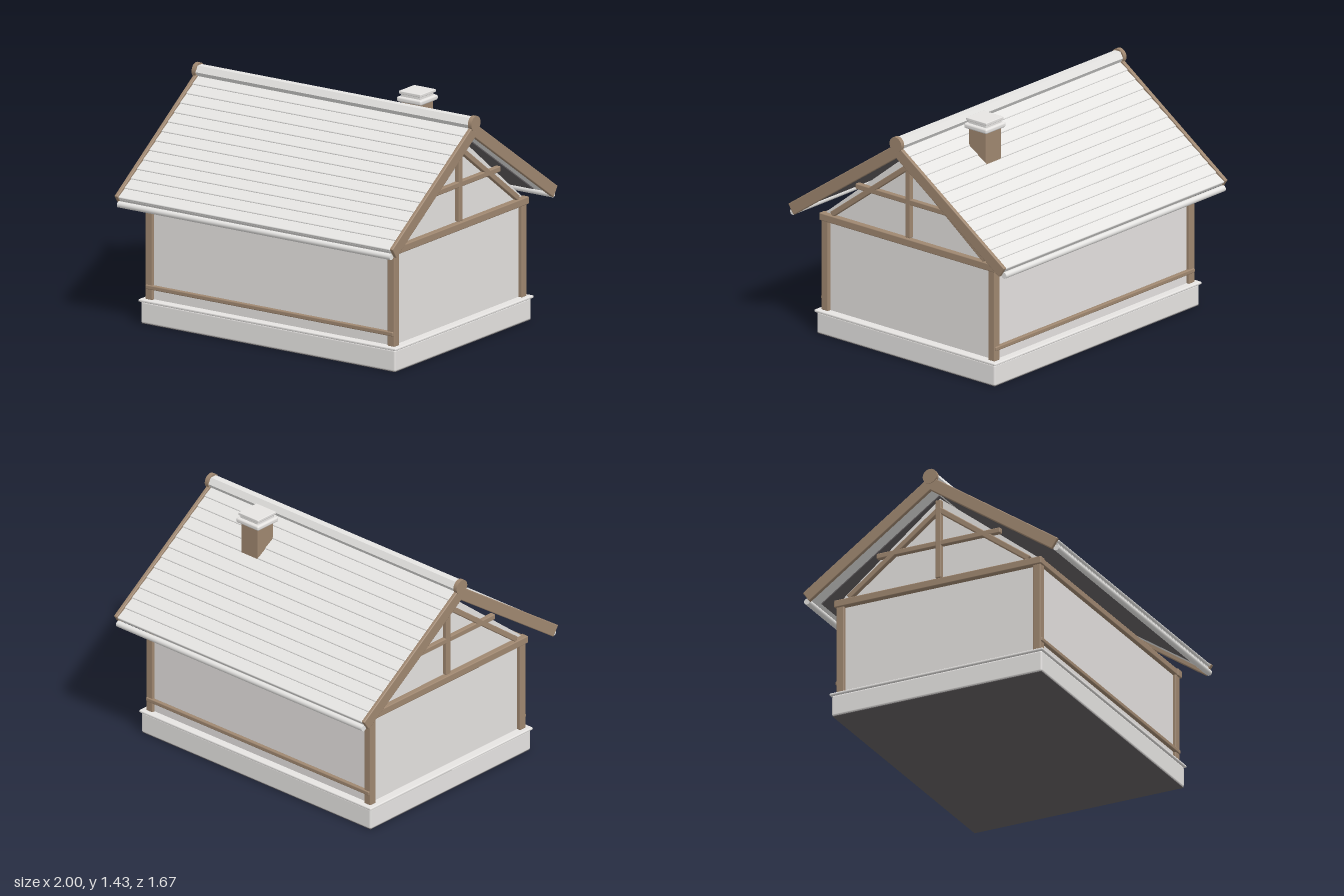
import * as THREE from 'three';
import { RoundedBoxGeometry } from 'three/addons/geometries/RoundedBoxGeometry.js';

const material = (name, color) => {
  const m = new THREE.MeshStandardMaterial({ color });
  m.name = name;
  return m;
};

export function createModel() {
  const model = new THREE.Group();
  model.name = 'cottage';
  const wood = material('brown wood', 0x9f8770);
  const plaster = material('pale plaster', 0xe4e1df);
  const stone = material('light stone', 0xe6e4e2);
  const tile = material('grey roofing', 0xe5e4e2);
  const dark = material('dark underside', 0x605c5e);

  // Softly bevelled box given by size and centre
  function box(parent, name, mat, w, h, d, x, y, z, r = 0.006) {
    const radius = Math.min(r, w * 0.4, h * 0.4, d * 0.4);
    const mesh = new THREE.Mesh(new RoundedBoxGeometry(w, h, d, 2, radius), mat);
    mesh.position.set(x, y, z);
    mesh.name = name;
    parent.add(mesh);
    return mesh;
  }

  // Bar running along x; few-sided bars get flat facets
  function bar(parent, name, mat, radius, length, x, y, z, sides = 24) {
    let geometry = new THREE.CylinderGeometry(radius, radius, length, sides);
    if (sides < 10) {
      geometry = geometry.toNonIndexed();
      geometry.computeVertexNormals();
    }
    const mesh = new THREE.Mesh(geometry.rotateZ(Math.PI / 2), mat);
    mesh.position.set(x, y, z);
    mesh.name = name;
    parent.add(mesh);
    return mesh;
  }

  // Plinth, its ledge and dark underside
  box(model, 'plinth', stone, 1.82, 0.133, 1.38, 0, 0.0685, 0, 0.012);
  box(model, 'plinthLedge', stone, 1.84, 0.016, 1.4, 0, 0.14, 0, 0.007);
  box(model, 'plinthUnderside', dark, 1.81, 0.006, 1.37, 0, 0.003, 0, 0.001);

  // Walls and gables in one pentagonal block
  const outline = new THREE.Shape();
  outline.moveTo(-0.65, 0.14);
  outline.lineTo(0.65, 0.14);
  outline.lineTo(0.65, 0.755);
  outline.lineTo(0, 1.275);
  outline.lineTo(-0.65, 0.755);
  outline.closePath();
  const block = new THREE.ExtrudeGeometry(outline, { depth: 1.73, bevelEnabled: false });
  block.translate(0, 0, -0.865).rotateY(Math.PI / 2);
  const walls = new THREE.Mesh(block, plaster);
  walls.name = 'wallsAndGables';
  model.add(walls);

  // Timber frame
  for (const s of [-1, 1]) {
    for (const t of [-1, 1]) {
      box(model, 'cornerPost', wood, 0.05, 0.57, 0.05, s * 0.865, 0.43, t * 0.645);
    }
    box(model, 'wallPlate', wood, 1.8, 0.04, 0.05, 0, 0.728, s * 0.65);
    box(model, 'sideRail', wood, 1.77, 0.026, 0.026, 0, 0.223, s * 0.665);

    // Truss on each gable
    const truss = new THREE.Group();
    truss.name = 'gableTruss';
    truss.position.x = s * 0.875;
    model.add(truss);
    box(truss, 'tieBeam', wood, 0.05, 0.046, 1.36, 0, 0.727, 0);
    box(truss, 'kingPost', wood, 0.036, 0.5, 0.038, 0, 1.005, 0);
    box(truss, 'collarBeam', wood, 0.034, 0.034, 0.81, 0, 0.979, 0);
    for (const t of [-1, 1]) {
      const brace = box(truss, 'diagonalBrace', wood, 0.034, 0.034, 0.74, 0, 0.978, t * 0.295);
      brace.rotation.x = t * Math.atan2(0.44, 0.59);
    }
  }

  // Roof slopes: local z runs down the slope, local y is its normal
  const pitch = Math.atan(0.687);
  const courses = 13;
  const slopeLength = 0.985;
  const step = slopeLength / courses;
  for (const side of ['front', 'back']) {
    const half = new THREE.Group();
    half.name = side + 'Roof';
    if (side === 'back') half.rotation.y = Math.PI;
    model.add(half);
    const slope = new THREE.Group();
    slope.name = 'slope';
    slope.position.y = 1.323;
    slope.rotation.x = pitch;
    half.add(slope);
    box(slope, 'roofDeck', tile, 1.95, 0.026, slopeLength, 0, 0, slopeLength / 2);
    box(slope, 'roofUnderlay', dark, 1.72, 0.008, 0.94, 0, -0.016, 0.49, 0.001);
    // Overlapping courses, lifted at their lower edge
    for (let i = 0; i < courses; i++) {
      const course = box(slope, 'roofCourse', tile, 1.94, 0.016, step + 0.012,
        0, 0.021, (i + 0.5) * step, 0.006);
      course.rotation.x = -0.08;
    }
    for (const s of [-1, 1]) {
      box(slope, 'bargeBoard', wood, 0.024, 0.074, 0.99, s * 0.983, 0, 0.495);
    }
    bar(half, 'eavesBar', tile, 0.019, 1.95, 0, 0.742, 0.818);
  }

  // Faceted ridge cap with wooden end discs
  bar(model, 'ridgeCap', tile, 0.042, 1.96, 0, 1.362, 0, 6);
  for (const s of [-1, 1]) bar(model, 'ridgeEnd', wood, 0.046, 0.026, s * 0.987, 1.365, 0);

  // Chimney on the back slope
  const chimney = new THREE.Group();
  chimney.name = 'chimney';
  chimney.position.set(0.438, 0, -0.203);
  model.add(chimney);
  box(chimney, 'chimneyShaft', wood, 0.135, 0.3, 0.135, 0, 1.225, 0);
  box(chimney, 'chimneyCollar', stone, 0.178, 0.032, 0.178, 0, 1.381, 0, 0.012);
  box(chimney, 'chimneyNeck', stone, 0.14, 0.028, 0.14, 0, 1.403, 0);
  box(chimney, 'chimneyCap', stone, 0.157, 0.018, 0.157, 0, 1.422, 0, 0.004);

  return model;
}
